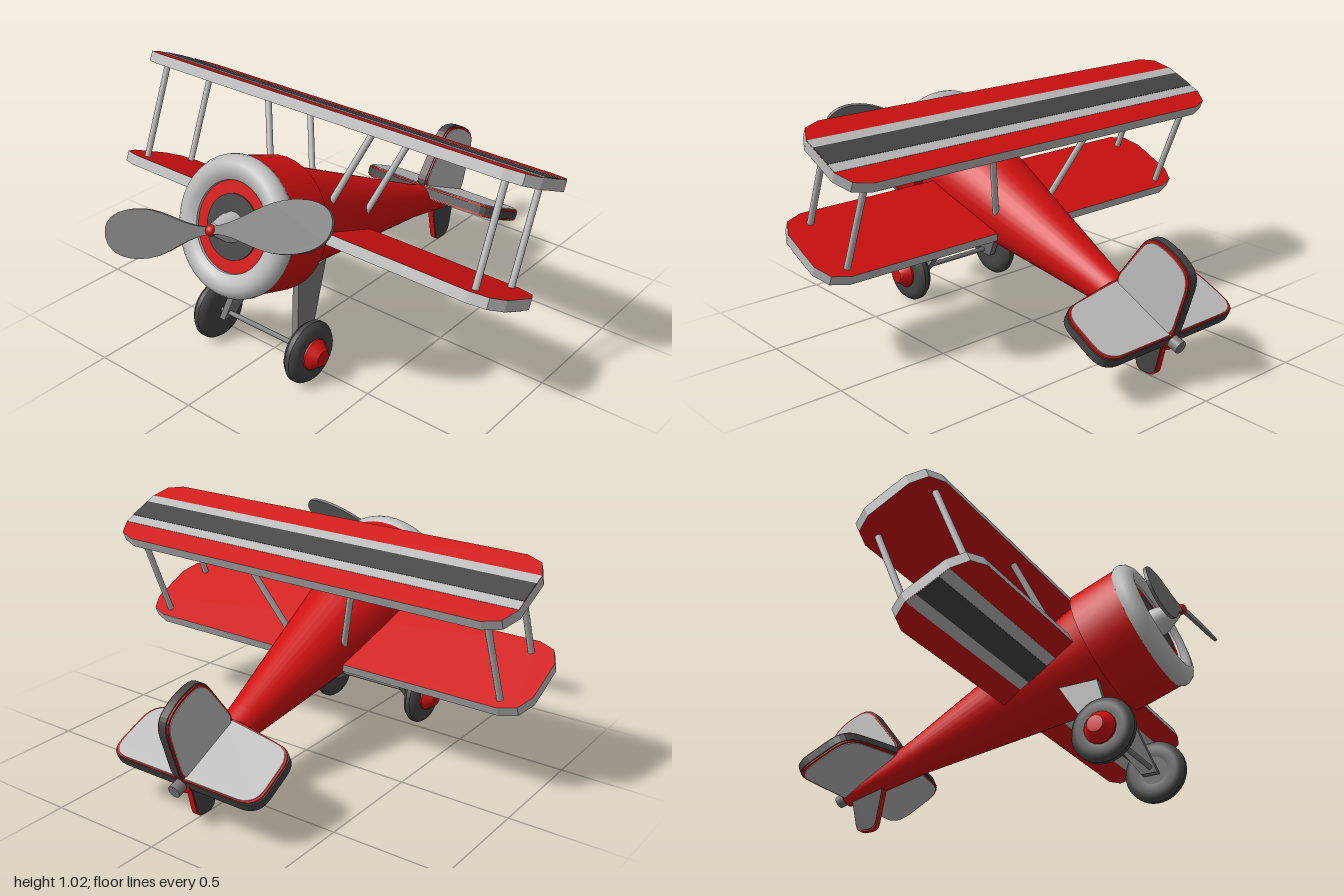
import * as THREE from 'three';
import { toCreasedNormals } from 'three/addons/utils/BufferGeometryUtils.js';

const mat = (color, side = THREE.FrontSide) => new THREE.MeshStandardMaterial({ color, side });
const RED = mat(0xd01010), LIGHT = mat(0xbbbbbb), DARK = mat(0x444444), MID = mat(0x777777);
const DEG = Math.PI / 180;
const V = (x, y, z) => new THREE.Vector3(x, y, z);

function add(parent, name, geometry, material) {
  const mesh = new THREE.Mesh(geometry, material);
  mesh.name = name;
  parent.add(mesh);
  return mesh;
}

function group(parent, name, x = 0, y = 0, angle = 0) {
  const g = new THREE.Group();
  g.name = name;
  g.position.set(x, y, 0);
  g.rotation.z = angle;
  parent.add(g);
  return g;
}

// Turned part around local y, with crisp corners
function lathe(profile, sides = 36) {
  const pts = profile.map(([r, y]) => new THREE.Vector2(r, y));
  return toCreasedNormals(new THREE.LatheGeometry(pts, sides), 0.6);
}

// Round rod between two points
function rod(parent, name, a, b, r, material) {
  const m = add(parent, name, new THREE.CylinderGeometry(r, r, a.distanceTo(b), 12), material);
  m.position.copy(a).add(b).multiplyScalar(0.5);
  m.quaternion.setFromUnitVectors(V(0, 1, 0), b.clone().sub(a).normalize());
  return m;
}

// Polygon with rounded corners, shrunk about its middle by "inset"
function roundedShape(points, radius, inset = 0) {
  const c = points.reduce((s, p) => [s[0] + p[0] / points.length, s[1] + p[1] / points.length], [0, 0]);
  const P = points.map(([x, y]) => {
    const v = new THREE.Vector2(x - c[0], y - c[1]);
    v.setLength(v.length() - inset);
    return v.add(new THREE.Vector2(...c));
  });
  const shape = new THREE.Shape();
  P.forEach((p, i) => {
    const toward = (q) => p.clone().lerp(q, Math.min(0.45, radius / p.distanceTo(q)));
    const a = toward(P[(i + P.length - 1) % P.length]), b = toward(P[(i + 1) % P.length]);
    if (i) shape.lineTo(a.x, a.y); else shape.moveTo(a.x, a.y);
    shape.quadraticCurveTo(p.x, p.y, b.x, b.y);
  });
  shape.closePath();
  return shape;
}

// Plate centred on its own plane
function plate(shape, thickness) {
  return new THREE.ExtrudeGeometry(shape, { depth: thickness, bevelEnabled: false, curveSegments: 6 })
    .translate(0, 0, -thickness / 2);
}

// Tail surface: dark rim, red band, light face
function layered(parent, name, points, radius, layers) {
  layers.forEach(([inset, thickness, material], i) =>
    add(parent, `${name}Layer${i + 1}`, plate(roundedShape(points, radius, inset), thickness), material));
}
const TAIL_LAYERS = [[0, 0.036, DARK], [0.006, 0.05, RED], [0.016, 0.058, LIGHT]];

function wing(parent, name, x, y, stripeSide) {
  const g = group(parent, name, x, y, -24.4 * DEG);
  const corner = [[0.2, 0.89], [0.172, 0.965], [0.1, 1]];
  const outline = [
    ...corner, ...corner.map(([a, b]) => [-a, b]).reverse(),
    ...corner.map(([a, b]) => [-a, -b]), ...corner.map(([a, b]) => [a, -b]).reverse(),
  ];
  const shape = new THREE.Shape(outline.map((p) => new THREE.Vector2(...p)));
  add(g, 'wingPanel', plate(shape, 0.045).rotateX(Math.PI / 2), [RED, LIGHT]);
  for (const [label, w, h, m] of [['lightStripe', 0.2, 0.003, LIGHT], ['darkStripe', 0.105, 0.006, DARK]]) {
    add(g, label, new THREE.BoxGeometry(w, h, 1.998), m).position.y = stripeSide * 0.0225;
  }
}

export function createModel() {
  const model = new THREE.Group();
  model.name = 'biplane';

  // Fuselage: long taper with a slimmer tail boom
  const body = group(model, 'fuselage', -0.48, 0.606, 72.3 * DEG);
  add(body, 'fuselageShell', lathe([[0, -1.365], [0.043, -1.365], [0.08, -0.955], [0.23, 0], [0.235, 0.04], [0, 0.04]]), RED);
  add(body, 'tailPeg', new THREE.CylinderGeometry(0.028, 0.028, 0.07, 16), MID).position.y = -1.375;

  // Cowling, nose ring and engine face
  const nose = group(model, 'nose', -0.48, 0.596, 71 * DEG);
  add(nose, 'cowling', lathe([[0.15, 0], [0.272, 0], [0.274, 0.2], [0.2, 0.21]]), RED);
  add(nose, 'noseRing', lathe([[0.2, 0.195], [0.272, 0.197], [0.282, 0.215], [0.281, 0.235], [0.27, 0.256],
    [0.25, 0.27], [0.225, 0.274], [0.2, 0.266], [0.182, 0.25], [0.178, 0.22]]), LIGHT);
  add(nose, 'engineFace', lathe([[0.2, 0.2], [0.2, 0.24], [0, 0.24]]), RED);
  add(nose, 'engineDisc', lathe([[0.13, 0.2], [0.13, 0.246], [0, 0.246]]), DARK);
  add(nose, 'spinner', lathe([[0.062, 0.24], [0.056, 0.275], [0.024, 0.35], [0, 0.352]], 24), LIGHT);

  // Propeller with two pitched paddle blades
  const prop = group(model, 'propeller', -0.82, 0.708, 66 * DEG);
  add(prop, 'propellerHub', new THREE.SphereGeometry(0.023, 16, 12), RED);
  const blade = new THREE.Shape();
  blade.moveTo(0, -0.014);
  blade.bezierCurveTo(0.15, -0.02, 0.22, -0.1, 0.38, -0.1);
  blade.bezierCurveTo(0.5, -0.1, 0.565, -0.06, 0.565, 0);
  blade.bezierCurveTo(0.565, 0.06, 0.5, 0.1, 0.38, 0.1);
  blade.bezierCurveTo(0.22, 0.1, 0.15, 0.02, 0, 0.014);
  const bladeGeo = new THREE.ExtrudeGeometry(blade, { depth: 0.012, bevelEnabled: false, curveSegments: 10 })
    .translate(0, 0, -0.006);
  const sweep = 20 * DEG, pitch = 10 * DEG;
  const along = V(Math.sin(sweep), 0, Math.cos(sweep));
  const chord = V(Math.cos(sweep), 0, -Math.sin(sweep)).multiplyScalar(Math.cos(pitch)).add(V(0, -Math.sin(pitch), 0));
  bladeGeo.applyMatrix4(new THREE.Matrix4().makeBasis(along, chord, along.clone().cross(chord)));
  for (const i of [0, 1]) add(prop, 'propellerBlade', bladeGeo, MID).rotation.y = i * Math.PI;

  // Wings: stripes on top of the upper one and beneath the lower one
  wing(model, 'upperWing', -0.058, 0.92, 1);
  wing(model, 'lowerWing', -0.245, 0.497, -1);

  // Struts, mirrored on both sides
  const struts = [[-0.195, 0.965, -0.36, 0.565], [0.065, 0.852, -0.1, 0.45]];
  for (const s of [1, -1]) {
    for (const [tx, ty, bx, by] of struts) {
      rod(model, 'outerStrut', V(tx, ty, s * 0.88), V(bx, by, s * 0.88), 0.014, LIGHT);
      rod(model, 'innerStrut', V(tx, ty, s * 0.275), V(bx, by, s * 0.12), 0.014, LIGHT);
    }
  }

  // Tailplane
  const tailplane = group(model, 'tailplane', 0.51, 0.344, -25 * DEG);
  const half = [[0, 0.04], [0.06, 0.37], [0.345, 0.382]];
  const turned = new THREE.Group();
  turned.name = 'tailplanePanel';
  turned.rotation.x = Math.PI / 2;
  tailplane.add(turned);
  layered(turned, 'tailplane', [...half, ...half.map(([u, z]) => [u, -z]).reverse()], 0.085, TAIL_LAYERS);

  // Upright fin and the small fin below
  const fin = group(model, 'fin');
  layered(fin, 'fin', [[0.83, 0.19], [0.925, 0.485], [0.835, 0.565], [0.7, 0.605], [0.505, 0.35]], 0.07, TAIL_LAYERS);
  const skid = group(model, 'tailSkid');
  layered(skid, 'tailSkid', [[0.79, 0.2], [0.745, 0.012], [0.647, 0.012], [0.61, 0.22]], 0.035,
    [[0, 0.026, RED], [0.006, 0.034, DARK]]);

  // Landing gear
  const gear = group(model, 'landingGear');
  rod(gear, 'axle', V(-0.57, 0.135, -0.24), V(-0.57, 0.135, 0.24), 0.011, MID);
  const tyre = lathe([[0.06, -0.028], [0.1, -0.033], [0.12, -0.026], [0.132, -0.01],
    [0.132, 0.01], [0.12, 0.026], [0.1, 0.033], [0.06, 0.028]]);
  const cap = lathe([[0.066, -0.01], [0.066, 0.036], [0.034, 0.078], [0, 0.082]], 16);
  for (const s of [1, -1]) {
    const wheel = group(gear, s > 0 ? 'frontWheel' : 'backWheel', -0.57, 0.133);
    wheel.position.z = s * 0.252;
    wheel.rotation.x = s * Math.PI / 2;
    add(wheel, 'tyre', tyre, DARK);
    add(wheel, 'wheelDisc', new THREE.CylinderGeometry(0.07, 0.07, 0.05, 24), DARK);
    add(wheel, 'wheelCap', cap, RED);

    // Leg: a box tapered and splayed towards the wheel
    const leg = new THREE.BoxGeometry(1, 1, 0.03);
    const p = leg.attributes.position;
    for (let i = 0; i < p.count; i++) {
      const top = p.getY(i) > 0, rear = p.getX(i) > 0;
      p.setXYZ(i, top ? (rear ? -0.33 : -0.5) : (rear ? -0.53 : -0.6),
        top ? 0.41 : 0.11, p.getZ(i) + s * (top ? 0.13 : 0.205));
    }
    leg.computeVertexNormals();
    add(gear, 'gearLeg', leg, MID);
  }
  return model;
}
